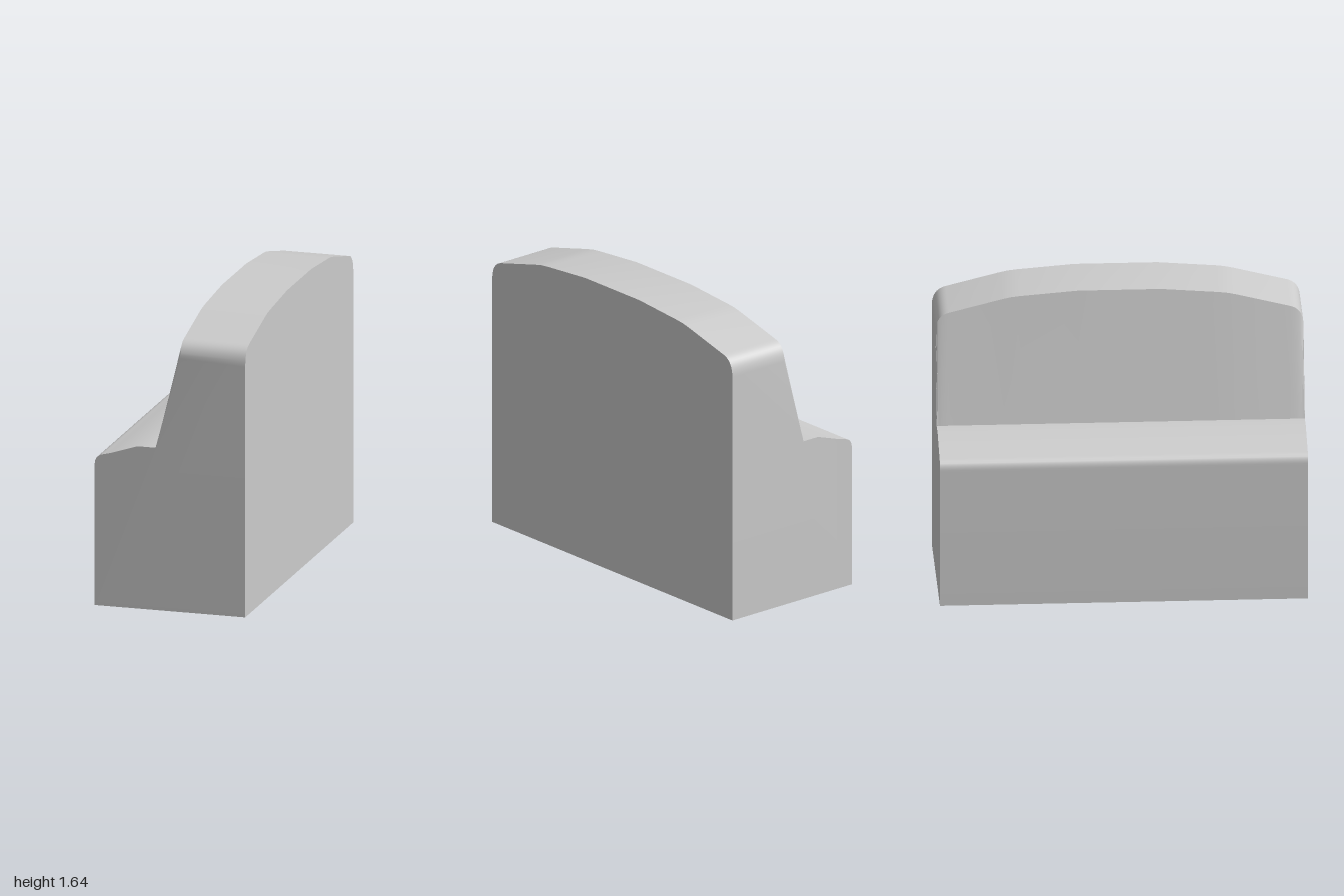
import * as THREE from 'three';
import { toCreasedNormals } from 'three/addons/utils/BufferGeometryUtils.js';

const HALF_DEPTH = 0.427;
const SHOULDER = 1.41; // height of the raised back at its two ends

// Half of the arched crest as [z, y] points, from the end to the middle
function crestHalf() {
  const corner = new THREE.QuadraticBezierCurve(
    new THREE.Vector2(1, SHOULDER), new THREE.Vector2(1, 1.502), new THREE.Vector2(0.926, 1.521));
  const pts = corner.getPoints(10).map(p => [p.x, p.y]);
  pts.push([0.64, 1.594], [0.59, 1.605], [0.54, 1.611], [0.225, 1.636]);
  return pts;
}

export function createModel() {
  const group = new THREE.Group();
  group.name = 'steppedBlock';

  // Side section: rounded lower ledge, leaning face, raised back
  const section = new THREE.Shape();
  section.moveTo(-HALF_DEPTH, 0);
  section.lineTo(HALF_DEPTH, 0);
  section.lineTo(HALF_DEPTH, SHOULDER);
  section.lineTo(0.057, SHOULDER);
  section.lineTo(-0.082, 0.914);
  section.lineTo(-0.185, 0.914);
  section.lineTo(-0.34, 0.863);
  section.lineTo(-0.38, 0.853);
  section.quadraticCurveTo(-HALF_DEPTH, 0.843, -HALF_DEPTH, 0.795);
  section.closePath();

  // Crest stations from the back end (-z) to the front end (+z)
  const half = crestHalf();
  const crest = [...half.map(([z, y]) => [-z, y]), ...half.slice().reverse()];
  const steps = crest.length - 1;

  // Sweep along z, moving each station to its place and lifting its top edge
  const geometry = new THREE.ExtrudeGeometry(section, {
    depth: steps, steps, bevelEnabled: false, curveSegments: 10,
  });
  const pos = geometry.attributes.position;
  for (let i = 0; i < pos.count; i++) {
    const [z, top] = crest[Math.round(pos.getZ(i))];
    pos.setZ(i, z);
    if (pos.getY(i) > SHOULDER - 0.01) pos.setY(i, top);
  }

  const body = new THREE.Mesh(
    toCreasedNormals(geometry, 0.5),
    new THREE.MeshStandardMaterial({ color: 0xcccccc }));
  body.name = 'archedBody';
  group.add(body);
  return group;
}
